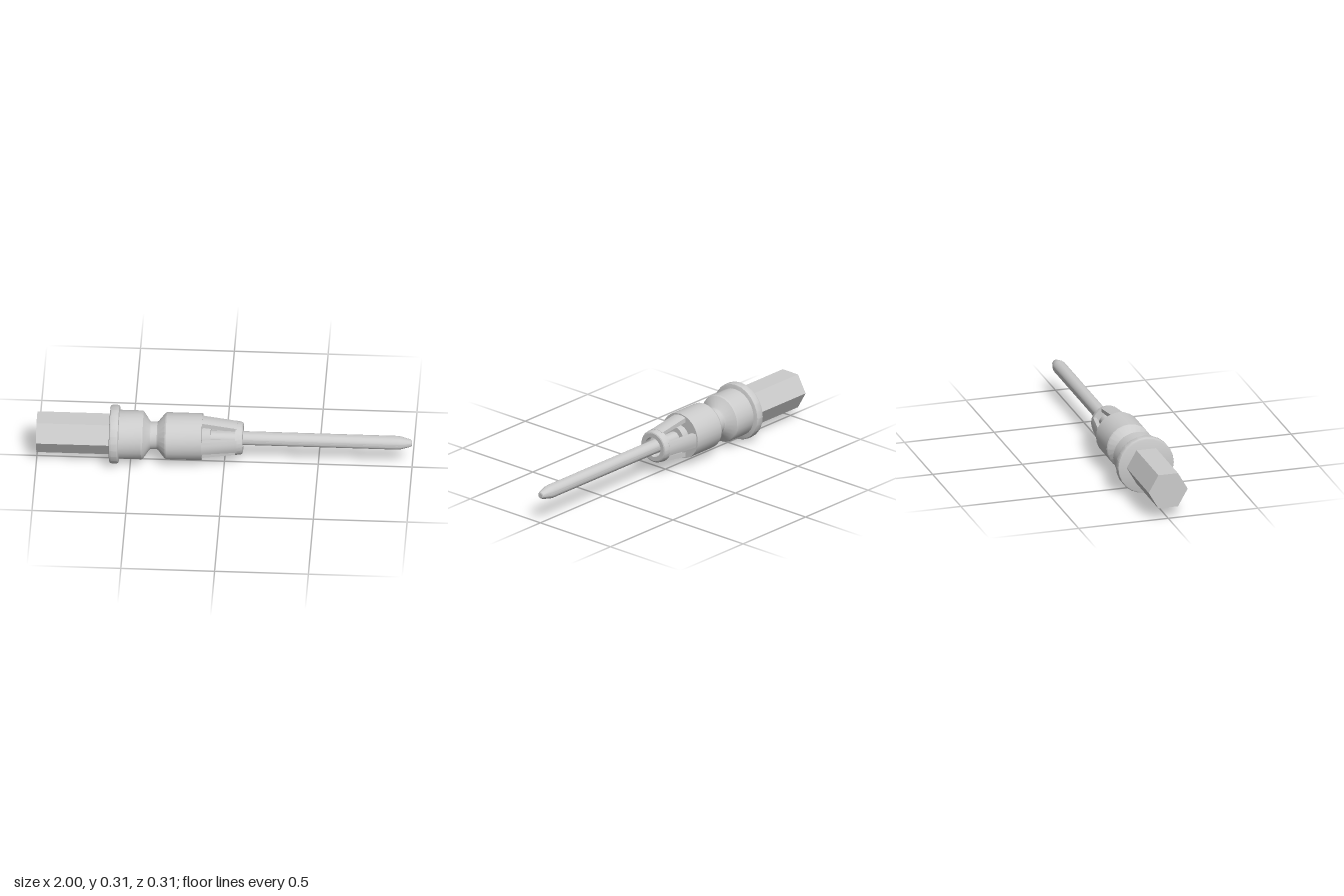
import * as THREE from 'three';
import { toCreasedNormals } from 'three/addons/utils/BufferGeometryUtils.js';

const AXIS_Y = 0.157;
const material = new THREE.MeshStandardMaterial({ color: 0xcccccc });

export function createModel() {
  const model = new THREE.Group();
  model.name = 'contactPin';

  const add = (name, geometry, crease = 0.45) => {
    const mesh = new THREE.Mesh(toCreasedNormals(geometry, crease), material);
    mesh.name = name;
    mesh.position.y = AXIS_Y;
    model.add(mesh);
    return mesh;
  };

  // Turned part along x from [x, radius] pairs
  const turn = (name, profile, segments = 24) => {
    const points = profile.map(([x, r]) => new THREE.Vector2(r, x));
    return add(name, new THREE.LatheGeometry(points, segments).rotateZ(-Math.PI / 2));
  };

  // Hexagonal shank, flats on top and bottom
  const hex = new THREE.CylinderGeometry(0.109, 0.109, 0.41, 6).rotateY(Math.PI / 6);
  hex.rotateZ(-Math.PI / 2);
  hex.computeBoundingBox();
  if (hex.boundingBox.max.y > 0.1) hex.rotateX(Math.PI / 6);
  add('hexShank', hex, 0.3).position.x = -0.795;

  // Collar with softened rims
  turn('collar', [
    [-0.61, 0], [-0.61, 0.147], [-0.607, 0.154], [-0.6, 0.157],
    [-0.57, 0.157], [-0.563, 0.154], [-0.56, 0.147], [-0.56, 0],
  ]);

  // Waisted barrel
  turn('barrel', [
    [-0.57, 0], [-0.57, 0.131], [-0.44, 0.131], [-0.432, 0.127], [-0.4, 0.08],
    [-0.393, 0.074], [-0.358, 0.074], [-0.35, 0.08], [-0.316, 0.122],
    [-0.308, 0.126], [-0.118, 0.126], [-0.118, 0],
  ]);

  // Stepped boss inside the cage
  turn('innerBoss', [[-0.13, 0], [-0.13, 0.06], [-0.072, 0.066], [-0.072, 0]]);

  // Four converging spring ribs: a box bent to the cone, constant in width
  for (let i = 0; i < 4; i++) {
    const rib = new THREE.BoxGeometry(1, 1, 1, 1, 1, 4);
    const pos = rib.attributes.position;
    for (let k = 0; k < pos.count; k++) {
      const t = pos.getX(k) + 0.5;
      const outer = pos.getY(k) > 0;
      const r = outer ? THREE.MathUtils.lerp(0.12, 0.092, t) : THREE.MathUtils.lerp(0.095, 0.076, t);
      const z = pos.getZ(k) * 0.076;
      pos.setXYZ(k, THREE.MathUtils.lerp(-0.13, 0.068, t), Math.sqrt(r * r - z * z), z);
    }
    rib.rotateX(i * Math.PI / 2);
    add('cageRib' + (i + 1), rib);
  }

  // Hollow nose ring closing the cage
  turn('noseRing', [
    [0.06, 0.055], [0.06, 0.092], [0.09, 0.088], [0.097, 0.084],
    [0.1, 0.078], [0.1, 0.055], [0.06, 0.055],
  ]);

  // Slender pin with tapered tip
  turn('pin', [
    [-0.13, 0], [-0.13, 0.037], [0.92, 0.037], [0.94, 0.035],
    [0.99, 0.021], [0.997, 0.017], [1, 0.012], [1, 0],
  ]);

  return model;
}
